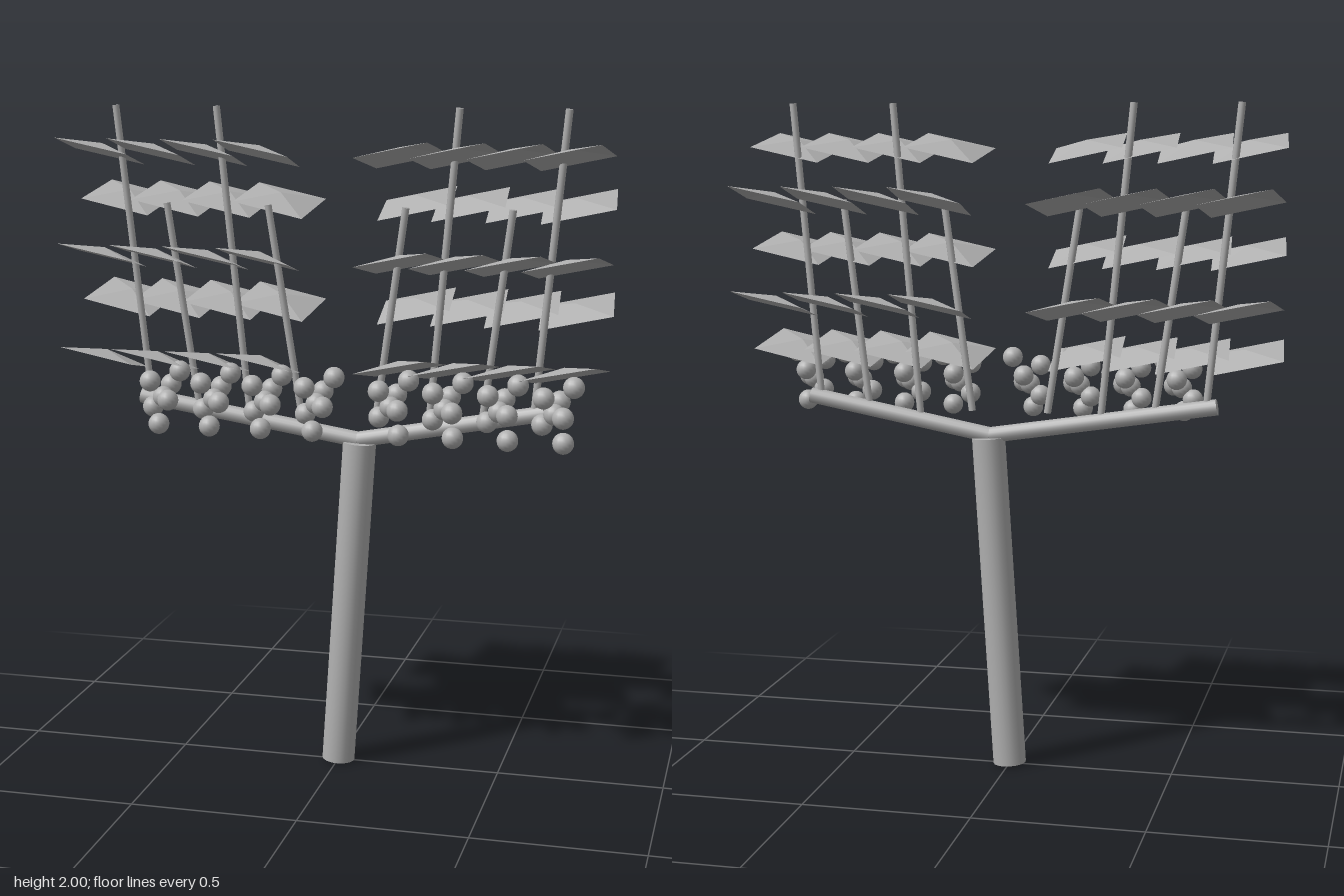
import * as THREE from 'three';

const grey = new THREE.MeshStandardMaterial({ color: 0xb0b0b0 });
grey.name = 'plainGrey';
const leafGrey = grey;
leafGrey.side = THREE.DoubleSide;

// Straight rod between two points
function rod(name, a, b, radius, sides) {
  const from = new THREE.Vector3(...a), to = new THREE.Vector3(...b);
  const dir = to.clone().sub(from);
  const mesh = new THREE.Mesh(new THREE.CylinderGeometry(radius, radius, dir.length(), sides), grey);
  mesh.position.copy(from).add(to).multiplyScalar(0.5);
  mesh.quaternion.setFromUnitVectors(new THREE.Vector3(0, 1, 0), dir.normalize());
  mesh.name = name;
  return mesh;
}

// Square leaf folded into a very shallow pyramid
function leafGeometry(half, rise) {
  const g = new THREE.ConeGeometry(half * Math.SQRT2, rise, 4, 1, true);
  g.rotateY(Math.PI / 4);
  g.translate(0, rise / 2, 0);
  const flat = g.toNonIndexed();
  flat.computeVertexNormals();
  return flat;
}

export function createModel() {
  const vine = new THREE.Group();
  vine.name = 'grapevine';

  // Leaning trunk and two arms
  vine.add(rod('trunk', [0, 0.004, 0], [0.065, 1.01, 0], 0.05, 20));
  for (const s of [-1, 1]) {
    vine.add(rod(s > 0 ? 'leftArm' : 'rightArm', [0.06, 1.018, 0], [s * 0.62, 1.123, 0], 0.024, 16));
  }

  // Upright canes, alternately short and tall: base x, base y, top x, top y
  const canes = [
    [0.115, 1.09, 0.207, 1.715],
    [0.275, 1.07, 0.362, 2.0],
    [0.435, 1.09, 0.52, 1.715],
    [0.588, 1.12, 0.674, 2.0],
  ];
  for (const s of [-1, 1]) {
    for (const [bx, by, tx, ty] of canes) {
      vine.add(rod('cane', [s * bx, by, 0], [s * tx, ty, 0.027], 0.011, 8));
    }
  }

  // Leaf tiers alternate front and back, rising outwards
  const leafGeo = leafGeometry(0.11, 0.025);
  const tilt = 0.21;
  for (let tier = 0; tier < 5; tier++) {
    const f = tier % 2 ? -1 : 1;
    for (const s of [-1, 1]) {
      for (let i = 0; i < 4; i++) {
        const leaf = new THREE.Mesh(leafGeo, leafGrey);
        leaf.name = f > 0 ? 'frontLeaf' : 'backLeaf';
        leaf.position.set(s * (0.212 + 0.16 * i), 1.257 + 0.153 * tier, f * 0.12);
        leaf.rotation.set(-f * tilt, -s * f * 0.05, s * tilt, 'ZYX');
        vine.add(leaf);
      }
    }
  }

  // Grape clusters hanging in front of the arms
  const grapes = [
    [0.03, 1.235, 0.175], [-0.05, 1.208, 0.212], [-0.015, 1.185, 0.125],
    [-0.06, 1.122, 0.16], [0.007, 1.155, 0.222], [-0.025, 1.155, 0.17],
    [-0.028, 1.08, 0.205],
  ];
  const grapeGeo = new THREE.SphereGeometry(0.031, 16, 12);
  for (const s of [-1, 1]) {
    for (let i = 0; i < 4; i++) {
      const cluster = new THREE.Group();
      cluster.name = 'grapeCluster';
      cluster.position.x = s > 0 ? 0.22 + 0.158 * i : -0.156 * i;
      grapes.forEach(([x, y, z], k) => {
        const grape = new THREE.Mesh(grapeGeo, grey);
        grape.name = 'grape';
        // the lowest grape sits further out on the +x side
        grape.position.set(x + (k === 6 && s > 0 ? 0.035 : 0), y, z);
        cluster.add(grape);
      });
      vine.add(cluster);
    }
  }
  return vine;
}
